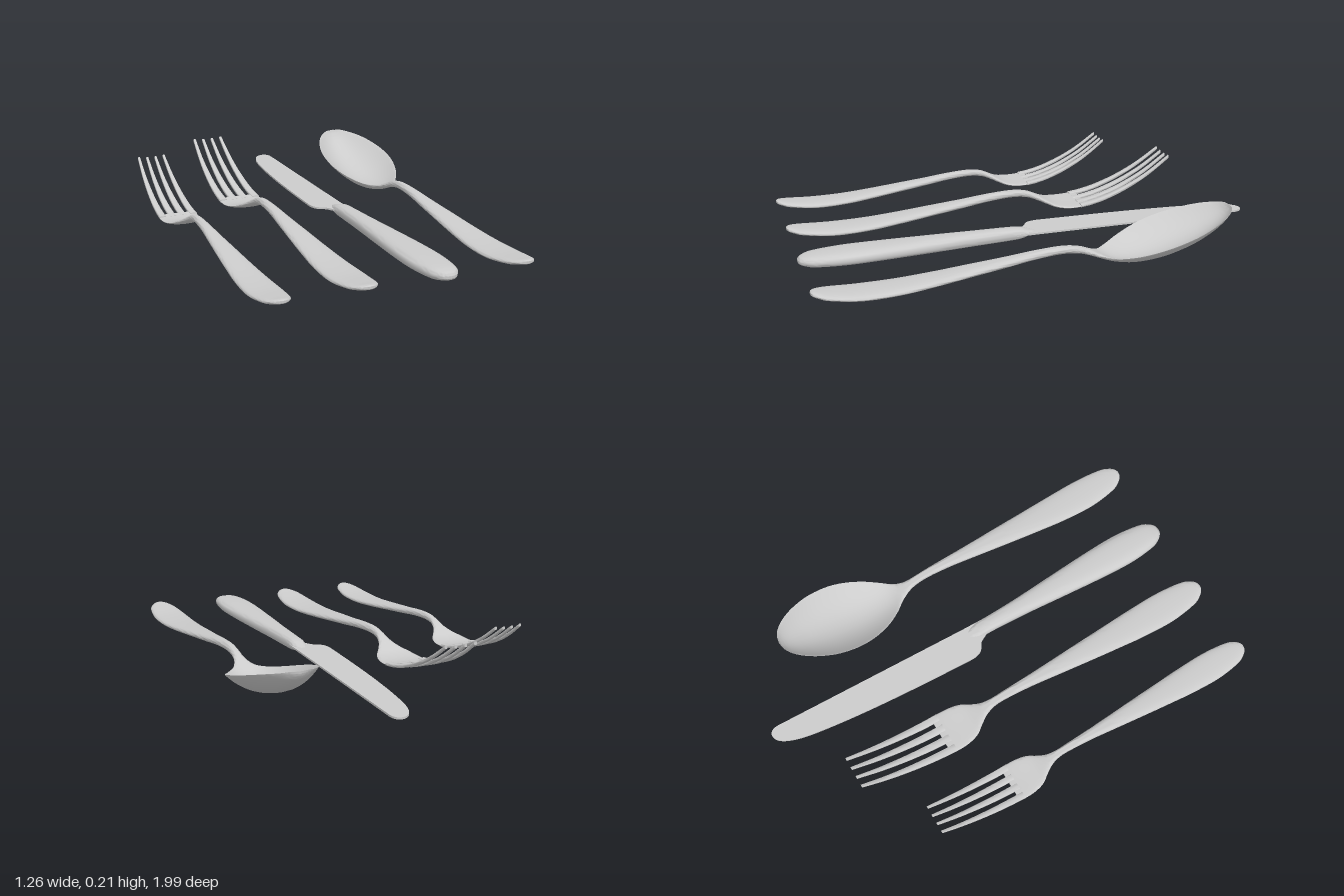
import * as THREE from 'three';
import { toCreasedNormals } from 'three/addons/utils/BufferGeometryUtils.js';

const material = new THREE.MeshStandardMaterial({ color: 0xcccccc, side: THREE.DoubleSide });

// Lofts rounded sections along -z. Station: [z, y, halfWidth, halfThickness, cup, x].
// "cup" lifts the side edges; "power" below 1 makes the section boxier.
function loft(name, stations, { power = 0.85, sides = 28, steps = 5 } = {}) {
  const path = new THREE.CatmullRomCurve3(
    stations.map(([z, y, , , , x = 0]) => new THREE.Vector3(x, y, z)), false, 'catmullrom');
  const size = new THREE.CatmullRomCurve3(
    stations.map(([, , w, t, cup = 0]) => new THREE.Vector3(w, t, cup)), false, 'catmullrom');
  const rings = (stations.length - 1) * steps;
  const bend = (v) => Math.sign(v) * Math.abs(v) ** power;
  const pos = [], index = [];
  for (let i = 0; i <= rings; i++) {
    const p = path.getPoint(i / rings), s = size.getPoint(i / rings);
    for (let j = 0; j < sides; j++) {
      const a = (j / sides) * Math.PI * 2;
      const u = bend(Math.cos(a));
      pos.push(p.x + u * Math.max(s.x, 0.0005), p.y + s.z * u * u + s.y * bend(Math.sin(a)), p.z);
    }
  }
  for (let i = 0; i < rings; i++) {
    for (let j = 0; j < sides; j++) {
      const k = (j + 1) % sides;
      const a = i * sides + j, b = i * sides + k, c = a + sides, d = b + sides;
      index.push(a, c, b, b, c, d);
    }
  }
  // End caps
  const last = rings * sides;
  for (let j = 1; j < sides - 1; j++) {
    index.push(0, j, j + 1, last, last + j + 1, last + j);
  }
  const geometry = new THREE.BufferGeometry();
  geometry.setAttribute('position', new THREE.Float32BufferAttribute(pos, 3));
  geometry.setIndex(index);
  const mesh = new THREE.Mesh(toCreasedNormals(geometry, 0.9), material);
  mesh.name = name;
  return mesh;
}

// Curved handle shared by the forks and the spoon
const handle = [
  [0.99, 0.046, 0, 0.004], [0.985, 0.045, 0.02, 0.008], [0.965, 0.041, 0.041, 0.011],
  [0.92, 0.033, 0.061, 0.013], [0.8, 0.021, 0.075, 0.015], [0.65, 0.022, 0.071, 0.016],
  [0.5, 0.034, 0.06, 0.016], [0.35, 0.05, 0.048, 0.016], [0.2, 0.066, 0.035, 0.016],
  [0.08, 0.08, 0.025, 0.016], [-0.03, 0.086, 0.019, 0.016], [-0.1, 0.078, 0.018, 0.015],
];

function createFork(name) {
  const fork = new THREE.Group();
  fork.name = name;
  fork.add(loft('handleAndHead', [
    ...handle,
    [-0.15, 0.058, 0.029, 0.013], [-0.19, 0.038, 0.052, 0.011, 0.002],
    [-0.23, 0.022, 0.079, 0.009, 0.004], [-0.28, 0.014, 0.092, 0.008, 0.005],
    [-0.33, 0.014, 0.095, 0.008, 0.005], [-0.37, 0.019, 0.094, 0.008, 0.005],
  ]));
  // Four tapering tines: [z, y, half spread of the head, tine half width]
  const tine = [
    [-0.34, 0.017, 0.095, 0.0165], [-0.4, 0.025, 0.093, 0.016], [-0.48, 0.045, 0.09, 0.0145],
    [-0.58, 0.083, 0.085, 0.012], [-0.68, 0.135, 0.079, 0.009], [-0.78, 0.203, 0.072, 0.006],
  ];
  for (const slot of [-1, -1 / 3, 1 / 3, 1]) {
    fork.add(loft('tine', tine.map(([z, y, spread, w]) =>
      [z, y + 0.004 * slot * slot, w, 0.007, 0, slot * (spread - w)]),
    { power: 0.35, sides: 16, steps: 4 }));
  }
  return fork;
}

function createSpoon() {
  const spoon = new THREE.Group();
  spoon.name = 'spoon';
  spoon.add(loft('handleAndBowl', [
    ...handle,
    [-0.15, 0.062, 0.024, 0.013], [-0.2, 0.04, 0.046, 0.01, 0.008],
    [-0.25, 0.021, 0.084, 0.007, 0.028], [-0.32, 0.009, 0.125, 0.006, 0.056],
    [-0.4, 0.011, 0.153, 0.005, 0.077], [-0.48, 0.024, 0.164, 0.005, 0.087],
    [-0.57, 0.05, 0.157, 0.005, 0.085], [-0.65, 0.082, 0.133, 0.005, 0.075],
    [-0.71, 0.115, 0.102, 0.005, 0.058], [-0.75, 0.146, 0.069, 0.004, 0.037],
    [-0.772, 0.173, 0.037, 0.004, 0.017], [-0.78, 0.19, 0, 0.003, 0],
  ], { sides: 40 }));
  return spoon;
}

function createKnife() {
  const knife = new THREE.Group();
  knife.name = 'knife';
  knife.add(loft('knifeHandle', [
    [0.99, 0.036, 0, 0.004], [0.985, 0.036, 0.021, 0.012], [0.965, 0.036, 0.042, 0.019],
    [0.92, 0.036, 0.062, 0.025], [0.8, 0.036, 0.075, 0.029], [0.65, 0.036, 0.071, 0.03],
    [0.45, 0.036, 0.057, 0.03], [0.25, 0.036, 0.042, 0.029], [0.1, 0.036, 0.035, 0.027],
    [0.04, 0.036, 0.034, 0.023], [0, 0.036, 0.027, 0.012], [-0.03, 0.036, 0.012, 0.004],
  ], { power: 0.75 }));

  // Flat blade lying on its side, with a rounded tip and heel
  const outline = new THREE.Shape();
  outline.moveTo(0.035, -0.06);
  outline.lineTo(0.037, 0.05);
  outline.lineTo(0.053, 0.55);
  outline.lineTo(0.066, 0.95);
  outline.bezierCurveTo(0.068, 0.99, 0.05, 1.0, 0.035, 1.0);
  outline.bezierCurveTo(-0.005, 1.0, -0.035, 0.93, -0.05, 0.82);
  outline.bezierCurveTo(-0.08, 0.62, -0.095, 0.35, -0.106, 0.08);
  outline.bezierCurveTo(-0.107, 0.01, -0.075, 0.015, -0.055, -0.005);
  outline.quadraticCurveTo(-0.04, -0.03, -0.032, -0.05);
  const geometry = new THREE.ExtrudeGeometry(outline, { depth: 0.008, bevelEnabled: false, curveSegments: 16 });
  geometry.rotateX(-Math.PI / 2).translate(0, 0.032, 0);
  const blade = new THREE.Mesh(geometry, material);
  blade.name = 'blade';
  knife.add(blade);
  return knife;
}

export function createModel() {
  const model = new THREE.Group();
  model.name = 'cutlerySet';

  const dinnerFork = createFork('dinnerFork');
  dinnerFork.position.x = -0.21;

  // Smaller fork, aligned with the others at the handle end
  const saladFork = createFork('saladFork');
  saladFork.scale.set(0.89, 0.93, 0.893);
  saladFork.position.set(-0.55, 0.003, 0.99 * (1 - 0.893));

  const knife = createKnife();
  knife.position.x = 0.125;

  const spoon = createSpoon();
  spoon.position.x = 0.465;

  model.add(saladFork, dinnerFork, knife, spoon);
  return model;
}
